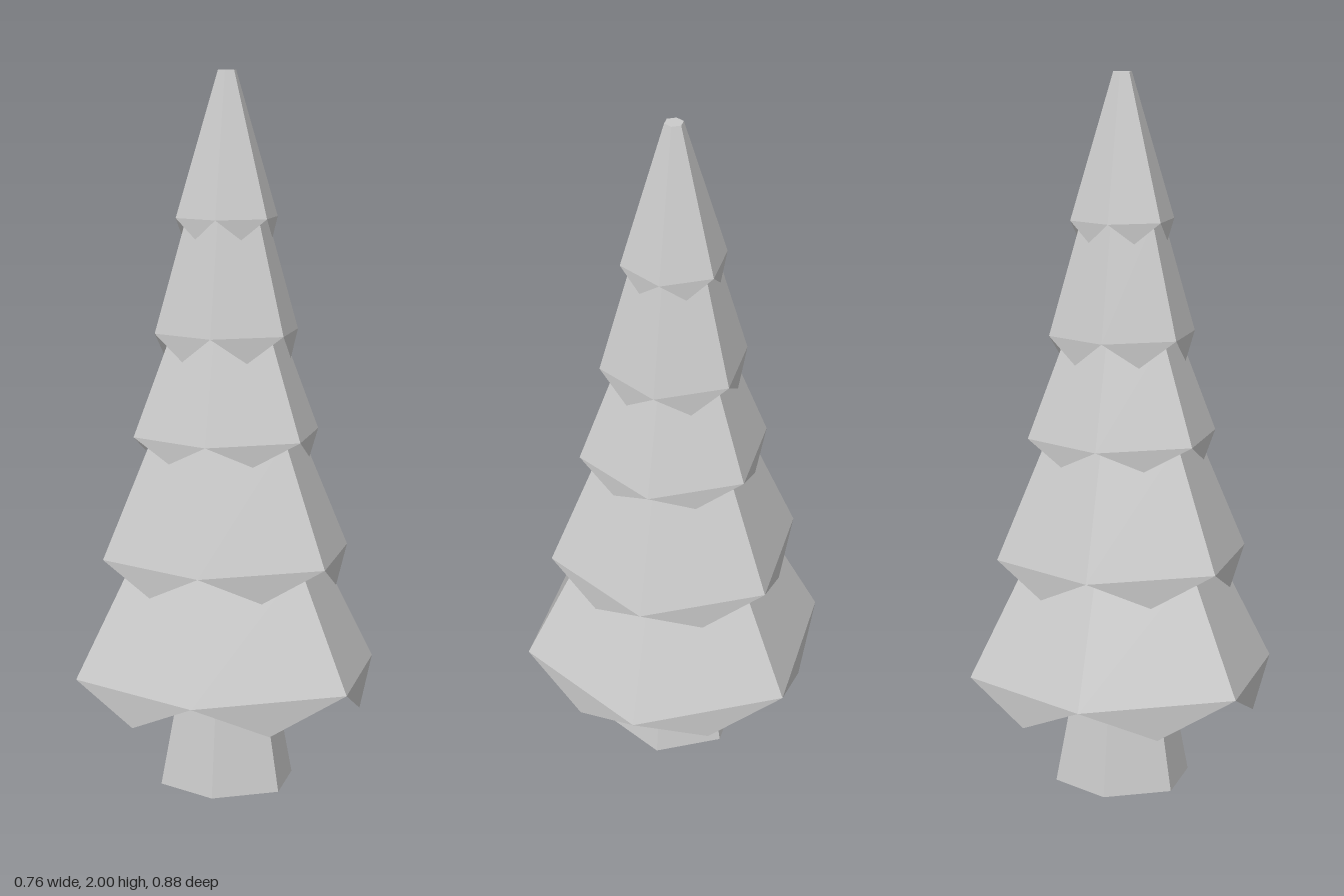
import * as THREE from 'three';

const SIDES = 6;
const material = new THREE.MeshStandardMaterial({ color: 0xcccccc, flatShading: true });
const flapMaterial = new THREE.MeshStandardMaterial({
  color: 0xcccccc, flatShading: true, side: THREE.DoubleSide,
});

// Six-sided frustum standing between two heights
function frustum(name, y0, r0, y1, r1) {
  const geometry = new THREE.CylinderGeometry(r1, r0, y1 - y0, SIDES);
  geometry.translate(0, (y0 + y1) / 2, 0);
  const mesh = new THREE.Mesh(geometry, material);
  mesh.name = name;
  return mesh;
}

// Pointed flaps hanging straight down from each rim edge
function flaps(radius, rimY, tipY) {
  const corner = (i) => {
    const a = (i / SIDES) * Math.PI * 2;
    return new THREE.Vector3(Math.sin(a) * radius, rimY, Math.cos(a) * radius);
  };
  const points = [];
  for (let i = 0; i < SIDES; i++) {
    const a = corner(i);
    const b = corner(i + 1);
    const tip = a.clone().lerp(b, 0.5).setY(tipY);
    points.push(a, tip, b);
  }
  const geometry = new THREE.BufferGeometry().setFromPoints(points);
  geometry.computeVertexNormals();
  const mesh = new THREE.Mesh(geometry, flapMaterial);
  mesh.name = 'branchTips';
  return mesh;
}

export function createModel() {
  const tree = new THREE.Group();
  tree.name = 'tree';

  // Tapered trunk
  tree.add(frustum('trunk', 0, 0.195, 0.34, 0.13));

  // Foliage tiers: rim height, rim radius, tip height, top height, top radius
  const tiers = [
    [0.325, 0.44, 0.23, 0.66, 0.27],
    [0.66, 0.36, 0.58, 1.0, 0.215],
    [1.0, 0.27, 0.94, 1.285, 0.16],
    [1.285, 0.208, 1.215, 1.6, 0.117],
    [1.6, 0.147, 1.545, 2.0, 0.026],
  ];
  tiers.forEach(([rimY, rimR, tipY, topY, topR], i) => {
    const tier = new THREE.Group();
    tier.name = `foliageTier${i + 1}`;
    tier.add(frustum('branches', rimY, rimR, topY, topR), flaps(rimR, rimY, tipY));
    tree.add(tier);
  });

  return tree;
}
